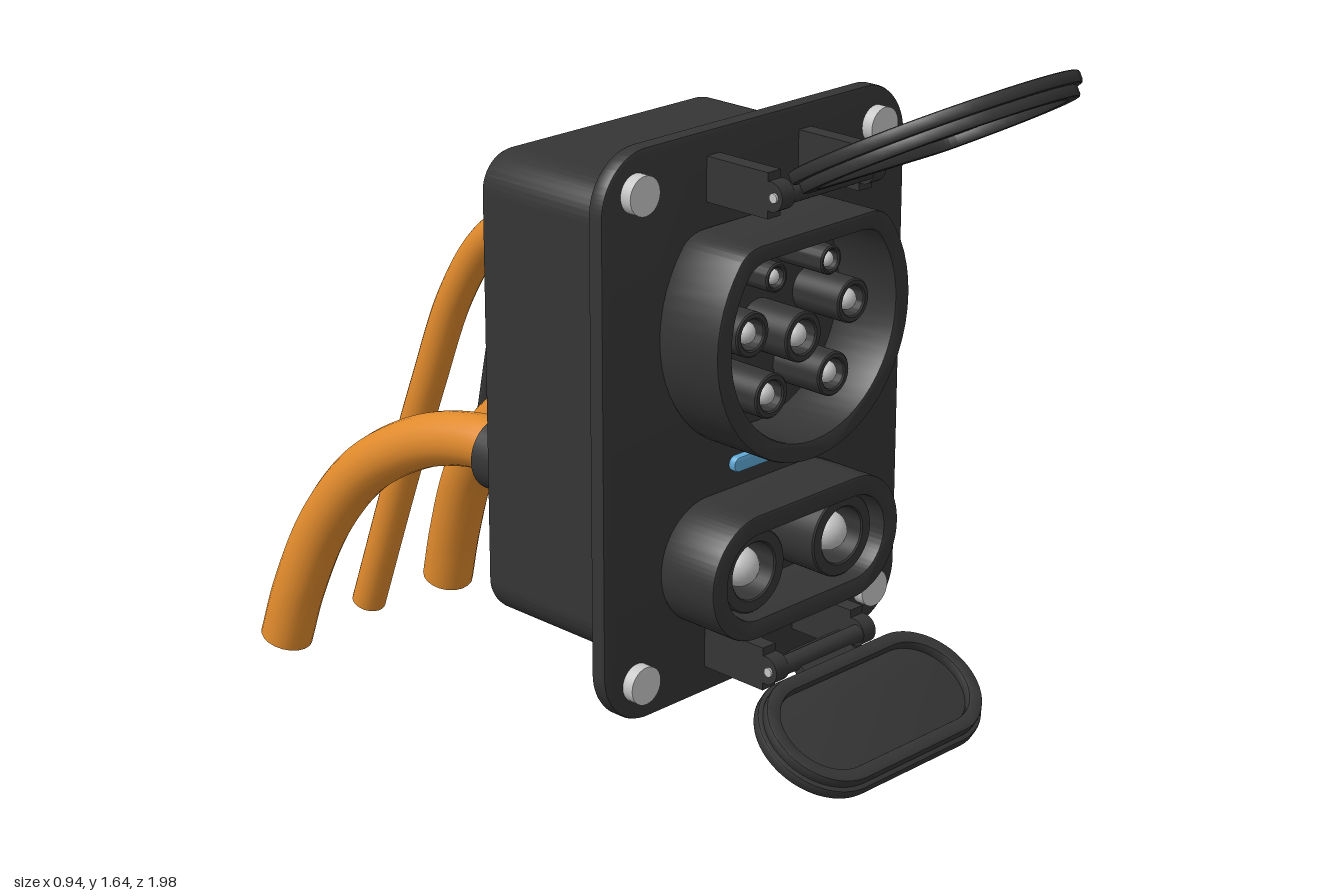
import * as THREE from 'three';
import { toCreasedNormals } from 'three/addons/utils/BufferGeometryUtils.js';

const CX = -0.04; // symmetry axis of the inlet

const mat = (name, color) => {
  const m = new THREE.MeshStandardMaterial({ color });
  m.name = name;
  return m;
};

export function createModel() {
  const root = new THREE.Group();
  const dark = mat('charcoal plastic', 0x353535);
  const orange = mat('orange cable', 0xe08a2c);
  const silver = mat('silver metal', 0xc6c6c6);
  const blue = mat('blue light', 0x5fa9d6);

  const add = (name, geo, material, x = 0, y = 0, z = 0, parent = root) => {
    const m = new THREE.Mesh(geo, material);
    m.name = name;
    m.position.set(x, y, z);
    parent.add(m);
    return m;
  };

  // Extrusion of a given total depth with softened edges, starting at z = 0
  const slab = (shape, depth, bevel = 0.006, segs = 2) => {
    const g = new THREE.ExtrudeGeometry(shape, {
      depth: depth - 2 * bevel, bevelEnabled: bevel > 0, bevelThickness: bevel,
      bevelSize: bevel, bevelOffset: -bevel, bevelSegments: segs, curveSegments: 20,
    });
    g.translate(0, 0, bevel);
    return toCreasedNormals(g, 0.6);
  };

  const roundRect = (w, h, r) => {
    const s = new THREE.Shape(), x = w / 2 - r, y = h / 2 - r;
    s.absarc(x, y, r, 0, Math.PI / 2);
    s.absarc(-x, y, r, Math.PI / 2, Math.PI);
    s.absarc(-x, -y, r, Math.PI, Math.PI * 1.5);
    s.absarc(x, -y, r, Math.PI * 1.5, Math.PI * 2);
    s.closePath();
    return s;
  };

  // Circle with a flattened top and softened corners
  const flatCircle = (r, flat) => {
    const s = new THREE.Shape(), a = Math.asin(flat / r), c = r * Math.cos(a), d = 0.12;
    s.absarc(0, 0, r, Math.PI - a + d, 2 * Math.PI + a - d);
    s.quadraticCurveTo(c, flat, c - 0.04, flat);
    s.lineTo(-c + 0.04, flat);
    s.quadraticCurveTo(-c, flat, -r * Math.cos(a - d), r * Math.sin(a - d));
    return s;
  };
  const stadium = (w, h) => roundRect(w, h, h / 2 - 0.001);
  const ring = (outer, inner) => {
    outer.holes.push(inner);
    return outer;
  };
  const rod = (r, len, axis, segs = 28) => {
    const g = new THREE.CylinderGeometry(r, r, len, segs);
    if (axis === 'z') g.rotateX(Math.PI / 2);
    if (axis === 'x') g.rotateZ(Math.PI / 2);
    return g;
  };

  // Housing and mounting plate
  add('housing', slab(roundRect(0.68, 0.99, 0.08), 0.41, 0.03, 5), dark, CX, 0.845, -0.16);
  add('mountingPlate', slab(roundRect(0.86, 1.18, 0.12), 0.037, 0.006), dark, CX, 0.845, 0.25);

  // Side actuator
  const pr = 0.087, ph = 0.13, b = 0.012;
  const actuator = new THREE.LatheGeometry([[0, -ph], [pr - b, -ph], [pr - b / 3, -ph + b / 3], [pr, -ph + b],
    [pr, ph - b], [pr - b / 3, ph - b / 3], [pr - b, ph], [0, ph]].map(p => new THREE.Vector2(...p)), 36);
  add('sideActuator', toCreasedNormals(actuator, 0.8), dark, 0.378, 0.92, 0.047);

  // Corner bolts
  for (const x of [-0.38, 0.30]) for (const y of [0.34, 1.35]) {
    add('boltHead', rod(0.04, 0.026, 'z'), silver, x, y, 0.3);
    add('boltShank', rod(0.016, 0.02, 'z', 16), silver, x, y, 0.246);
  }

  // Contact: hollow sleeve with a round-nosed pin
  const contact = (x, y, sleeveR, pinR, front) => {
    const g = new THREE.Group();
    g.name = 'contact';
    g.position.set(x, y, 0.285);
    root.add(g);
    const outer = new THREE.Shape().absarc(0, 0, sleeveR, 0, Math.PI * 2);
    const inner = new THREE.Path().absarc(0, 0, Math.max(pinR * 1.25, sleeveR * 0.68), 0, Math.PI * 2);
    add('sleeve', slab(ring(outer, inner), front - 0.285, 0.003, 1), dark, 0, 0, 0, g);
    const len = front - 0.285 - pinR;
    add('pin', rod(pinR, len, 'z', 20), silver, 0, 0, len / 2, g);
    add('pinTip', new THREE.SphereGeometry(pinR, 20, 12), silver, 0, 0, len, g);
  };

  // Upper socket
  add('upperSocketWall', slab(ring(flatCircle(0.277, 0.2), flatCircle(0.236, 0.165)), 0.157, 0.005), dark, CX, 1.04, 0.285);
  for (const s of [-1, 1]) {
    contact(CX + s * 0.078, 1.15, 0.03, 0.016, 0.41);
    contact(CX + s * 0.145, 1.05, 0.046, 0.023, 0.41);
    contact(CX + s * 0.09, 0.91, 0.046, 0.023, 0.41);
    contact(CX + s * 0.13, 0.55, 0.088, 0.042, 0.405);
  }
  contact(CX, 1.01, 0.052, 0.025, 0.41);

  // Status light
  add('statusLight', slab(stadium(0.16, 0.032), 0.02, 0.004), blue, CX, 0.73, 0.283);

  // Lower socket
  add('lowerSocketWall', slab(ring(stadium(0.546, 0.265), stadium(0.46, 0.18)), 0.145, 0.005), dark, CX, 0.548, 0.285);

  // Hinges: two arms, knuckles and a barrel
  for (const [y, barrelY] of [[1.338, 1.338], [0.357, 0.357]]) {
    const hinge = new THREE.Group();
    hinge.name = 'hinge';
    hinge.position.set(CX, 0, 0);
    root.add(hinge);
    for (const s of [-1, 1]) {
      add('hingeArm', new THREE.BoxGeometry(0.036, 0.092, 0.165), dark, s * 0.13, y, 0.365, hinge);
      add('hingeKnuckle', rod(0.03, 0.036, 'x'), dark, s * 0.13, barrelY, 0.455, hinge);
      add('hingePinEnd', rod(0.01, 0.046, 'x', 12), silver, s * 0.13, barrelY, 0.465, hinge);
    }
    add('hingeBarrel', rod(0.019, 0.23, 'x'), dark, 0, barrelY, 0.465, hinge);
  }

  // Lids, local +z is the recessed inner side
  const lid = (name, y, z, angle, cap, rim, offset, turn, tongueY) => {
    const g = new THREE.Group();
    g.name = name;
    g.position.set(CX, y, z);
    g.rotation.x = angle;
    root.add(g);
    const capMesh = add('lidCap', slab(cap, 0.026, 0.006), dark, 0, offset, -0.024, g);
    const rimMesh = add('lidRim', slab(rim, 0.024, 0.004), dark, 0, offset, 0, g);
    capMesh.rotation.z = rimMesh.rotation.z = turn;
    add('lidTongue', new THREE.BoxGeometry(0.15, Math.abs(tongueY) + 0.04, 0.024), dark, 0, tongueY / 2, -0.01, g);
  };
  lid('upperLid', 1.393, 0.557, 1.083, flatCircle(0.285, 0.2),
    ring(flatCircle(0.272, 0.188), flatCircle(0.245, 0.16)), 0.2, Math.PI, -0.1);
  lid('lowerLid', 0.345, 0.49, -1.0, stadium(0.57, 0.28),
    ring(stadium(0.55, 0.26), stadium(0.49, 0.2)), -0.14, 0, 0.03);

  // Cables: capped tubes through a few points
  const cable = (name, pts, r, material) => {
    const g = new THREE.Group();
    g.name = name;
    root.add(g);
    const curve = new THREE.CatmullRomCurve3(pts.map(p => new THREE.Vector3(...p)));
    add('cableSheath', new THREE.TubeGeometry(curve, 48, r, 20), material, 0, 0, 0, g);
    const end = curve.getPoint(1);
    const capMesh = add('cableEnd', new THREE.CircleGeometry(r, 20), material, end.x, end.y, end.z, g);
    capMesh.quaternion.setFromUnitVectors(new THREE.Vector3(0, 0, 1), curve.getTangent(1));
  };
  for (const s of [-1, 1]) {
    const at = d => CX + s * d;
    add('powerGland', rod(0.08, 0.15, 'z', 32), dark, at(0.165), 0.62, -0.225);
    cable('powerCable', [[at(0.165), 0.632, -0.25], [at(0.166), 0.628, -0.37], [at(0.175), 0.585, -0.53],
      [at(0.195), 0.48, -0.7], [at(0.215), 0.33, -0.82], [at(0.235), 0.15, -0.9], [at(0.245), 0.02, -0.94]], 0.059, orange);
  }
  add('centreGland', rod(0.056, 0.15, 'z', 32), dark, CX, 1.07, -0.225);
  cable('centreCable', [[CX, 1.088, -0.25], [CX, 1.085, -0.37], [CX, 1.01, -0.5], [CX, 0.86, -0.61],
    [CX, 0.63, -0.71], [CX, 0.35, -0.82], [CX, 0.03, -0.94]], 0.039, orange);
  cable('signalCable', [[0.185, 1.18, -0.14], [0.188, 1.187, -0.29], [0.2, 1.14, -0.45], [0.22, 1.03, -0.62],
    [0.245, 0.85, -0.75], [0.268, 0.65, -0.82], [0.295, 0.4, -0.9]], 0.02, dark);

  return root;
}
